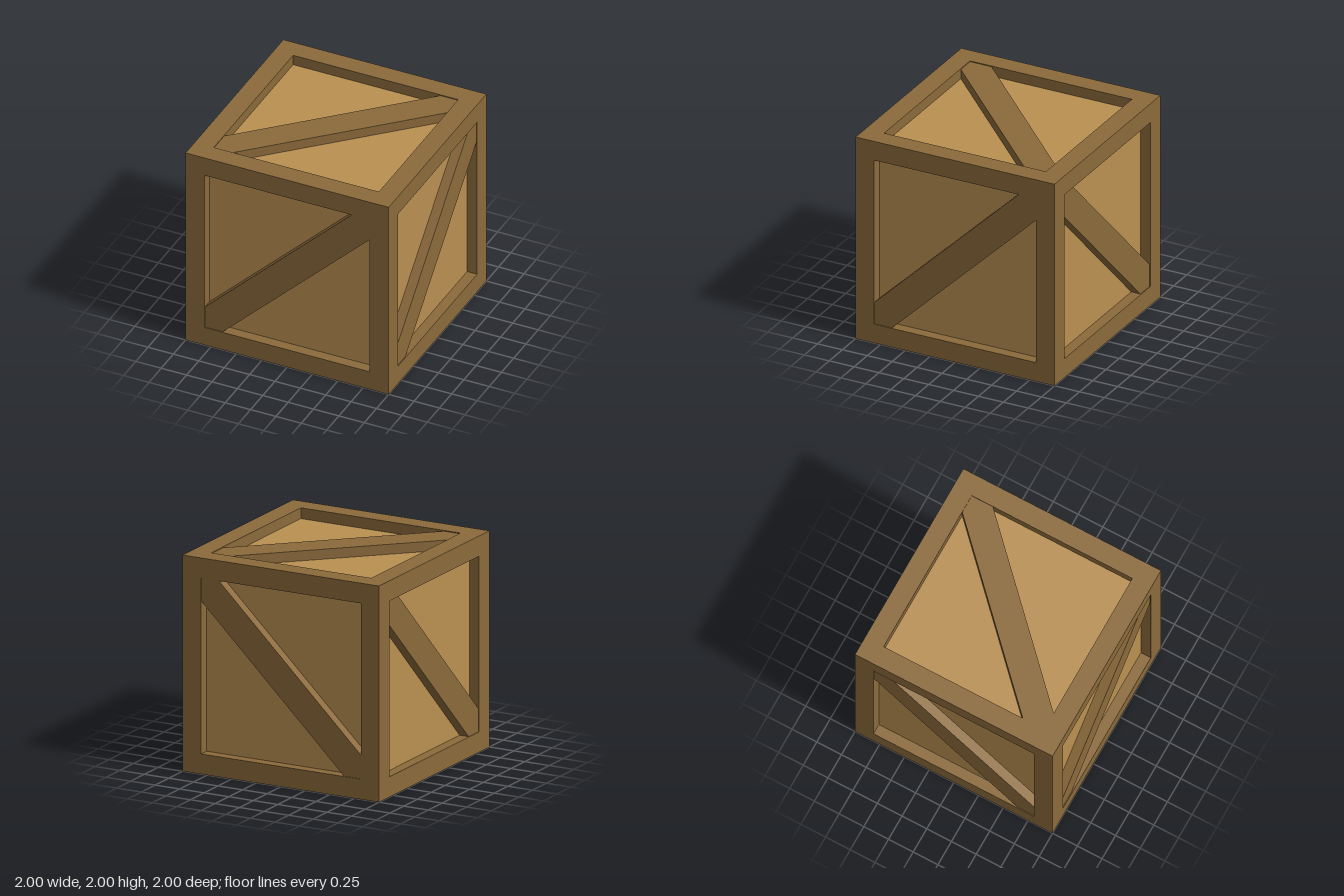
import * as THREE from 'three';

export function createModel() {
  const crate = new THREE.Group();
  crate.name = 'woodenCrate';
  const frameWood = new THREE.MeshStandardMaterial({ color: 0x8b6a3b });
  frameWood.name = 'dark frame wood';
  const panelWood = new THREE.MeshStandardMaterial({ color: 0xba9052 });
  panelWood.name = 'light panel wood';

  const inner = 0.813;            // half width of each framed opening
  const beam = 1 - inner;         // thickness of the frame beams
  const mid = 1 - beam / 2;       // centre line of the beams
  const panel = 0.9;              // distance of the recessed panels from the centre
  const braceFace = 0.992;        // braces sit a hair below the frame

  const body = new THREE.Group();
  body.position.y = 1;
  crate.add(body);

  const add = (name, geometry, material, x = 0, y = 0, z = 0) => {
    const mesh = new THREE.Mesh(geometry, material);
    mesh.name = name;
    mesh.position.set(x, y, z);
    body.add(mesh);
    return mesh;
  };

  // Recessed panels on all six sides
  add('panels', new THREE.BoxGeometry(panel * 2, panel * 2, panel * 2), panelWood);

  // Corner posts, and rails fitted between them
  const post = new THREE.BoxGeometry(beam, 2, beam);
  const railX = new THREE.BoxGeometry(inner * 2, beam, beam);
  const railZ = new THREE.BoxGeometry(beam, beam, inner * 2);
  for (const a of [-mid, mid]) {
    for (const b of [-mid, mid]) {
      add('cornerPost', post, frameWood, a, 0, b);
      add('crossRail', railX, frameWood, 0, a, b);
      add('sideRail', railZ, frameWood, a, b, 0);
    }
  }

  // Diagonal brace, its ends cut to fit the corners of the opening
  const outline = new THREE.Shape([
    [-inner, -inner], [-0.638, -inner], [inner, 0.597],
    [inner, inner], [0.638, inner], [-inner, -0.597],
  ].map(([x, y]) => new THREE.Vector2(x, y)));
  const brace = new THREE.ExtrudeGeometry(outline, { depth: braceFace - panel, bevelEnabled: false });
  const outer = brace.clone().translate(0, 0, panel);
  const opposite = brace.clone().translate(0, 0, -braceFace);

  // Braces on the four walls and the top; the underside has none
  add('frontBrace', outer, frameWood);
  add('backBrace', opposite, frameWood);
  add('leftBrace', outer, frameWood).rotation.y = Math.PI / 2;
  add('rightBrace', opposite, frameWood).rotation.y = Math.PI / 2;
  add('topBrace', outer, frameWood).rotation.x = -Math.PI / 2;

  return crate;
}
